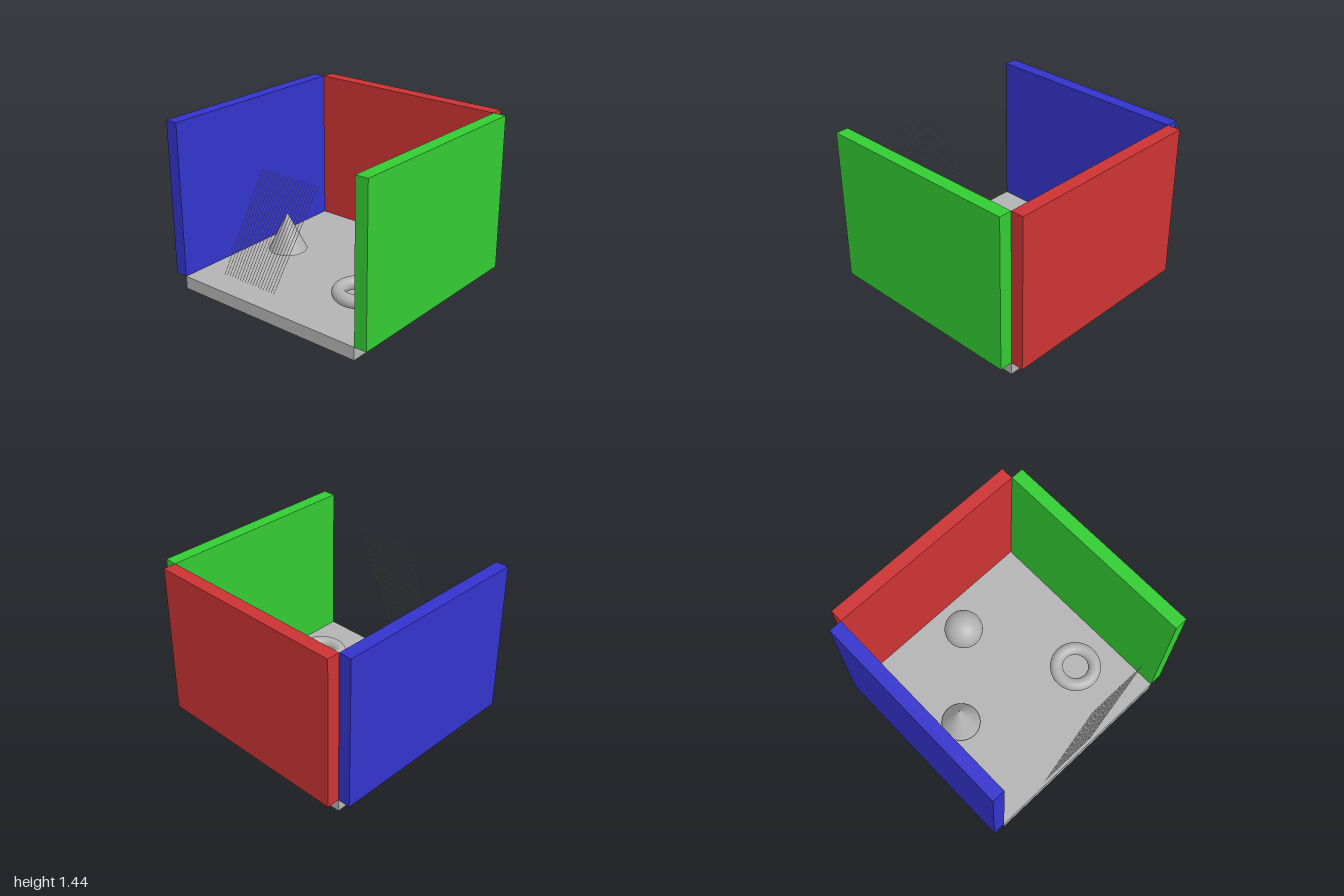
import * as THREE from 'three';

const U = 1 / 9; // base unit: wall thickness

function material(name, color) {
  const m = new THREE.MeshStandardMaterial({ color });
  m.name = name;
  return m;
}

export function createModel() {
  const group = new THREE.Group();
  const grey = material('grey', 0xb3b3b3);
  const red = material('red', 0xcc3333);
  const green = material('green', 0x33cc33);
  const blue = material('blue', 0x3333cc);

  // positions are given in base units
  const add = (name, geometry, mat, x, y, z) => {
    const mesh = new THREE.Mesh(geometry, mat);
    mesh.name = name;
    mesh.position.set(x * U, y * U, z * U);
    group.add(mesh);
    return mesh;
  };
  const box = (w, h, d) => new THREE.BoxGeometry(w * U, h * U, d * U);

  // open room: floor slab and three walls
  add('floor', box(16, 1, 16), grey, 0, 0.5, 0.5);
  add('backWall', box(16, 12, 1), red, 0, 7, -8);
  add('leftWall', box(1, 12, 16), green, 8.5, 7, 0.5);
  add('rightWall', box(1, 12, 16), blue, -8.5, 7, 0.5);

  // solids hovering just above the floor
  add('cone', new THREE.ConeGeometry(1.5 * U, 3 * U, 48), grey, -5, 2.83, 0.5);
  add('sphere', new THREE.SphereGeometry(1.5 * U, 48, 32), grey, 0, 3, -4.5);
  const ring = new THREE.TorusGeometry(1.5 * U, 0.5 * U, 24, 64);
  ring.rotateX(Math.PI / 2);
  add('ring', ring, grey, 4.5, 1.83, 3.5);

  // row of fine slanted strands in the plane of the open front
  const rise = 9, lean = 4.1, count = 20, pitch = 0.25;
  const strand = box(0.022, Math.hypot(rise, lean), 0.022);
  for (let i = 0; i < count; i++) {
    const x = 0.6 + (i - (count - 1) / 2) * pitch;
    add('strand', strand, grey, x, 7, 8.48).rotation.z = -Math.atan2(lean, rise);
  }
  return group;
}
